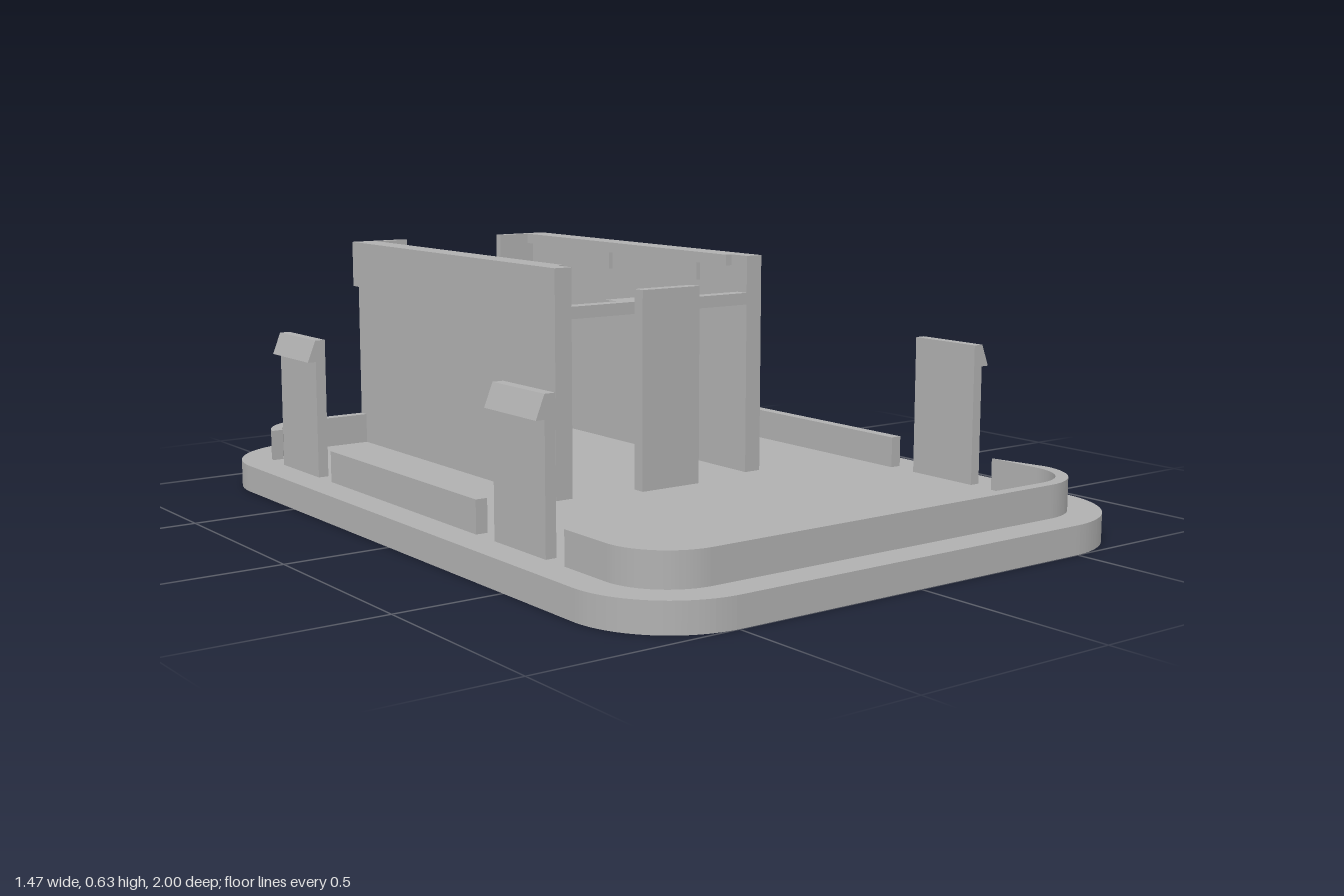
import * as THREE from 'three';

const grey = new THREE.MeshStandardMaterial({ color: 0xb0b0b0 });
grey.name = 'plain grey';

const FLOOR = 0.07;   // top of the base plate
const LIP_TOP = 0.15;

export function createModel() {
  const model = new THREE.Group();
  model.name = 'clipInCover';

  function add(name, geometry) {
    const mesh = new THREE.Mesh(geometry, grey);
    mesh.name = name;
    model.add(mesh);
    return mesh;
  }

  // Box given by its limits on each axis
  function box(name, x0, x1, y0, y1, z0, z1) {
    const g = new THREE.BoxGeometry(x1 - x0, y1 - y0, z1 - z0);
    g.translate((x0 + x1) / 2, (y0 + y1) / 2, (z0 + z1) / 2);
    return add(name, g);
  }

  // Same box on the left (s = 1) or right (s = -1)
  function sideBox(name, s, x0, x1, ...rest) {
    return s > 0 ? box(name, x0, x1, ...rest) : box(name, -x1, -x0, ...rest);
  }

  // Plan outline (x, z) extruded between two heights
  function slab(shape, y0, y1) {
    const g = new THREE.ExtrudeGeometry(shape, { depth: y1 - y0, bevelEnabled: false, curveSegments: 16 });
    g.rotateX(Math.PI / 2);
    g.translate(0, y1, 0);
    return g;
  }

  // Base plate with rounded corners
  const W = 0.735, R = 0.24;
  const plate = new THREE.Shape();
  plate.absarc(W - R, 1 - R, R, 0, Math.PI / 2);
  plate.absarc(R - W, 1 - R, R, Math.PI / 2, Math.PI);
  plate.absarc(R - W, R - 1, R, Math.PI, Math.PI * 1.5);
  plate.absarc(W - R, R - 1, R, Math.PI * 1.5, Math.PI * 2);
  plate.closePath();
  add('basePlate', slab(plate, 0, FLOOR));

  // U-shaped end of the raised lip, its arms stopping at z = end
  function lipEnd(name, end) {
    const cx = 0.5, cz = 0.762, ro = 0.155, ri = 0.125;
    const ao = Math.asin(Math.max(0, (end - cz) / ro));
    const ai = Math.asin(Math.max(0, (end - cz) / ri));
    const s = new THREE.Shape();
    if (end < cz) s.moveTo(cx + ro, end);
    s.absarc(cx, cz, ro, ao, Math.PI / 2);
    s.absarc(-cx, cz, ro, Math.PI / 2, Math.PI - ao);
    if (end < cz) {
      s.lineTo(-cx - ro, end);
      s.lineTo(-cx - ri, end);
    }
    s.absarc(-cx, cz, ri, Math.PI - ai, Math.PI / 2, true);
    s.absarc(cx, cz, ri, Math.PI / 2, ai, true);
    if (end < cz) s.lineTo(cx + ri, end);
    s.closePath();
    return add(name, slab(s, FLOOR, LIP_TOP));
  }
  lipEnd('frontLip', 0.615);
  lipEnd('backLip', 0.797).rotation.y = Math.PI;

  // Snap clip section: stem with a sloped outward hook
  const clip = new THREE.Shape([
    [0.628, FLOOR], [0.655, FLOOR], [0.655, 0.37], [0.677, 0.37], [0.655, 0.425], [0.628, 0.425],
  ].map(([x, y]) => new THREE.Vector2(x, y)));
  const clipLength = 0.205;

  for (const s of [1, -1]) {
    const side = s > 0 ? 'left' : 'right';

    sideBox(side + 'Lip', s, 0.625, 0.655, FLOOR, LIP_TOP, -0.445, 0.262);

    for (const z of [0.442, -0.618]) {
      const g = new THREE.ExtrudeGeometry(clip, { depth: clipLength, bevelEnabled: false });
      g.translate(0, 0, -clipLength / 2);
      if (s < 0) g.rotateY(Math.PI);
      g.translate(0, 0, z);
      add(side + 'SnapClip', g);
    }

    // Holder wall with its inner top rail and small ribs
    sideBox(side + 'Wall', s, 0.272, 0.32, FLOOR, 0.635, -0.915, 0.082);
    sideBox(side + 'Rail', s, 0.253, 0.272, 0.607, 0.635, -0.925, 0.02);
    for (const z of [-0.12, -0.52]) {
      sideBox(side + 'Rib', s, 0.26, 0.272, 0.56, 0.607, z - 0.008, z + 0.008);
    }

    // Rear stop turned inward, with a low ledge inside it
    sideBox(side + 'RearStop', s, 0.157, 0.32, 0.51, 0.635, -0.947, -0.925);
    sideBox(side + 'RearStopRoot', s, 0.272, 0.32, 0.51, 0.635, -0.925, -0.915);
    sideBox(side + 'RearLedge', s, 0.157, 0.272, 0.51, 0.545, -0.925, -0.903);
  }

  // Bridge between the walls, wider in the middle, and the post before it
  box('bridge', -0.272, 0.272, 0.51, 0.54, 0.045, 0.082);
  box('bridgeTongue', -0.115, 0.115, 0.51, 0.54, 0, 0.045);
  box('frontPost', -0.088, 0.088, FLOOR, 0.572, 0.085, 0.12);

  return model;
}
